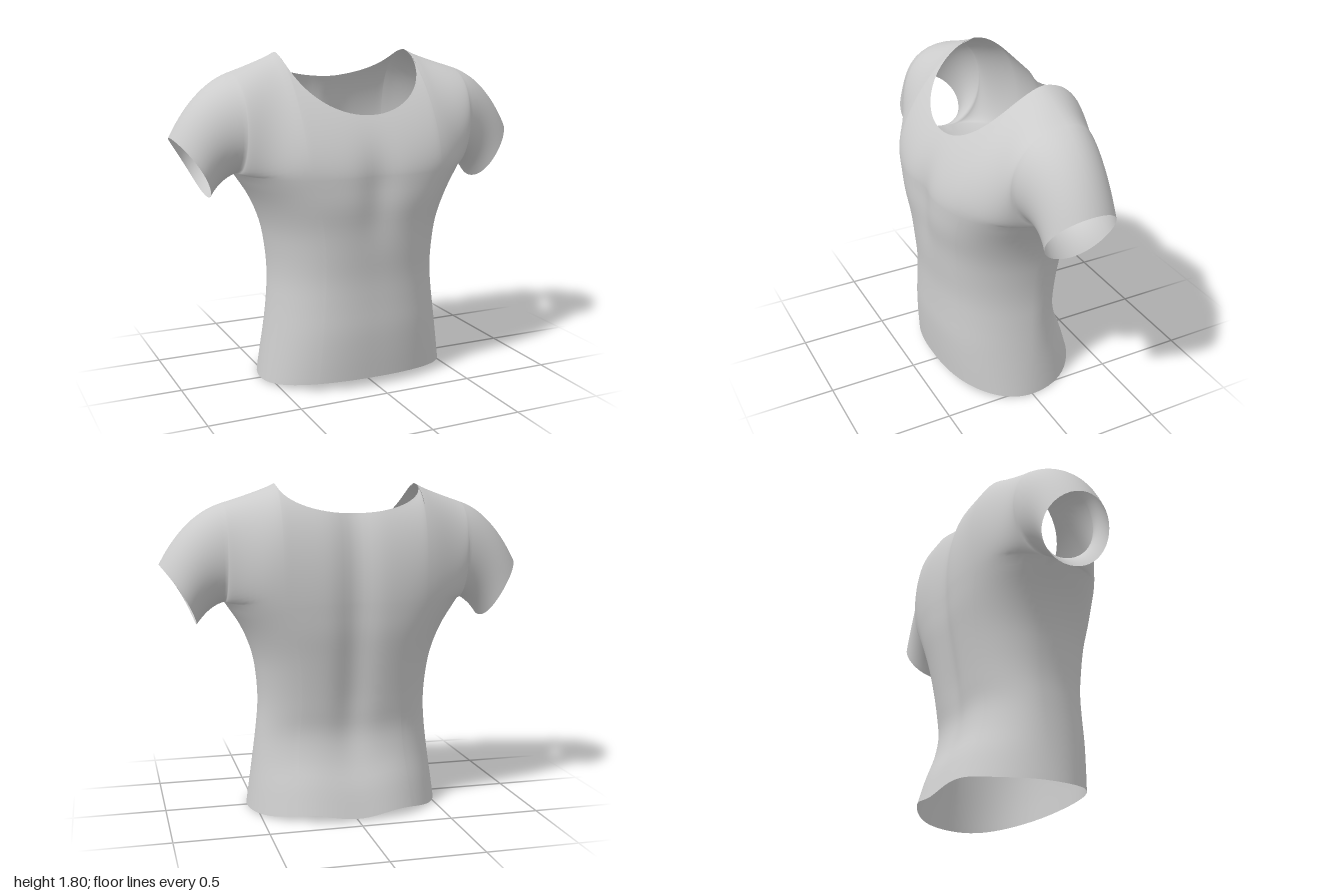
import * as THREE from 'three';
import { mergeVertices } from 'three/addons/utils/BufferGeometryUtils.js';

const { lerp, smoothstep } = THREE.MathUtils;
const ARMPIT_Y = 1.17, ARM_X = 0.66, NECK_X = 0.39, SIDE_Z = -0.05;

// Torso stations at even heights from hem to armpit: half width, front depth, back depth
const stations = new THREE.CatmullRomCurve3([
  [0.545, 0.37, -0.415], [0.525, 0.38, -0.37], [0.505, 0.385, -0.315],
  [0.487, 0.38, -0.29], [0.475, 0.378, -0.31], [0.482, 0.388, -0.335],
  [0.507, 0.4, -0.362], [0.565, 0.418, -0.388], [0.66, 0.415, -0.402],
].map((p) => new THREE.Vector3(...p)), false, 'catmullrom', 0.5);

// Columns from centre (0) to side (1), with one exactly at the neck corner
const columns = [];
const corner = NECK_X / ARM_X;
for (let i = 0; i < 16; i++) columns.push(corner * Math.sin((i / 16) * Math.PI / 2));
for (let i = 0; i <= 12; i++) columns.push(corner + (1 - corner) * Math.sin((i / 12) * Math.PI / 2));

const bezier = (a, b, c, d, t) => {
  const s = 1 - t;
  return s * s * s * a + 3 * s * s * t * b + 3 * s * t * t * c + t * t * t * d;
};

// Hollow between the chest muscles and along the spine
function hollow(x, y, front) {
  if (front) return -0.03 * Math.exp(-((x / 0.1) ** 2)) * Math.exp(-(((y - 1.1) / 0.22) ** 2));
  return 0.035 * Math.exp(-((x / 0.09) ** 2)) * smoothstep(y, 0.15, 0.7);
}

// Torso below the armpits
function bodyPoint(X, v, front) {
  const s = stations.getPoint(v);
  const hem = front ? 0.048 * (1 - X ** 3) : (0.01 + 0.03 * Math.sin(Math.PI * X) ** 2) * (1 - X ** 4);
  const y = lerp(hem, ARMPIT_Y, v), x = s.x * X, side = SIDE_Z * v;
  const round = Math.sqrt(Math.max(0, 1 - X ** lerp(2.5, 3, v)));
  const z = side + ((front ? s.y : s.z) - side) * round;
  return [x, y, z];
}

// Chest and upper back, curving over to the shoulder line
function upperPoint(X, t, front) {
  const x = ARM_X * X, w = smoothstep(x, 0.36, ARM_X);
  const k = Math.max(0, (x - NECK_X) / (ARM_X - NECK_X));
  const top = 1.8 - 0.1 * k ** 0.85, topZ = lerp(-0.11, -0.08, k);
  const base = bodyPoint(X, 1, front)[2];
  const y = bezier(ARMPIT_Y, lerp(front ? 1.38 : 1.45, ARMPIT_Y, w), top - 0.02 * (1 - w), top, t);
  const z = front
    ? bezier(base, lerp(0.4, 0.3, w), lerp(0.1, 0.3, w), topZ, t)
    : bezier(base, lerp(-0.42, -0.34, w), lerp(-0.36, -0.34, w), topZ, t);
  return [x, y, z];
}

// Where a column stops: at the neckline inside the neck corner, else at the shoulder line
function columnEnd(X, front) {
  const x = ARM_X * X;
  if (x >= NECK_X - 1e-6) return 1;
  const neckY = 1.8 - (front ? 0.32 : 0.155) * Math.sqrt(1 - (x / NECK_X) ** 2);
  let a = 0, b = 1;
  for (let i = 0; i < 30; i++) {
    const m = (a + b) / 2;
    if (upperPoint(X, m, front)[1] < neckY) a = m; else b = m;
  }
  return a;
}

// Oval sleeve ring: top and bottom points, front and back depth
function sleeveRing(top, bottom, zFront, zBack, bow, angle) {
  const c = (1 - Math.cos(angle)) / 2, s = Math.sin(angle);
  return [lerp(bottom[0], top[0], c) - bow * s * s, lerp(bottom[1], top[1], c),
    (zFront + zBack) / 2 + s * (zFront - zBack) / 2];
}

export function createModel() {
  const positions = [];

  // Adds a grid of quads, once for each side of the body
  function addGrid(nu, nv, point, flip) {
    const grid = [];
    for (let i = 0; i <= nu; i++) {
      grid.push([]);
      for (let j = 0; j <= nv; j++) grid[i].push(point(i, j));
    }
    for (const side of [1, -1]) {
      const reverse = flip !== (side < 0);
      for (let i = 0; i < nu; i++) for (let j = 0; j < nv; j++) {
        const q = [grid[i][j], grid[i + 1][j], grid[i + 1][j + 1], grid[i][j + 1]];
        if (reverse) q.reverse();
        for (const n of [0, 1, 2, 0, 2, 3]) positions.push(q[n][0] * side, q[n][1], q[n][2]);
      }
    }
  }

  // Front and back panels
  const last = columns.length - 1, rows = 28, upperRows = 20;
  for (const front of [true, false]) {
    const ends = columns.map((X) => columnEnd(X, front));
    const shaped = ([x, y, z]) => [x, y, z + hollow(x, y, front)];
    addGrid(last, rows, (i, j) => shaped(bodyPoint(columns[i], j / rows, front)), !front);
    addGrid(last, upperRows, (i, j) => shaped(upperPoint(columns[i], ends[i] * j / upperRows, front)), !front);
  }

  // Sleeves, swept from the armhole to the open cuff
  addGrid(2 * upperRows, 14, (i, j) => {
    const front = i <= upperRows, t = front ? i / upperRows : 2 - i / upperRows;
    const angle = Math.PI * i / upperRows, s = j / 14;
    const a = upperPoint(1, t, front);
    const b = sleeveRing([0.86, 1.64], [0.74, 1.15], 0.15, -0.237, 0, angle);
    const c = sleeveRing([1, 1.375], [0.81, 1.05], 0.15, -0.235, 0.022, angle);
    return a.map((_, n) => (1 - s) ** 2 * a[n] + 2 * s * (1 - s) * b[n] + s * s * c[n]);
  }, true);

  // One welded cloth surface, so that shading runs smoothly across the seams
  let geometry = new THREE.BufferGeometry();
  geometry.setAttribute('position', new THREE.Float32BufferAttribute(positions, 3));
  geometry = mergeVertices(geometry, 1e-4);
  geometry.computeVertexNormals();

  const cloth = new THREE.MeshStandardMaterial({ color: 0xcccccc, side: THREE.DoubleSide });
  cloth.name = 'light grey cloth';
  const shirt = new THREE.Mesh(geometry, cloth);
  shirt.name = 'shirt';

  const model = new THREE.Group();
  model.name = 'shortSleevedShirt';
  model.add(shirt);
  return model;
}
